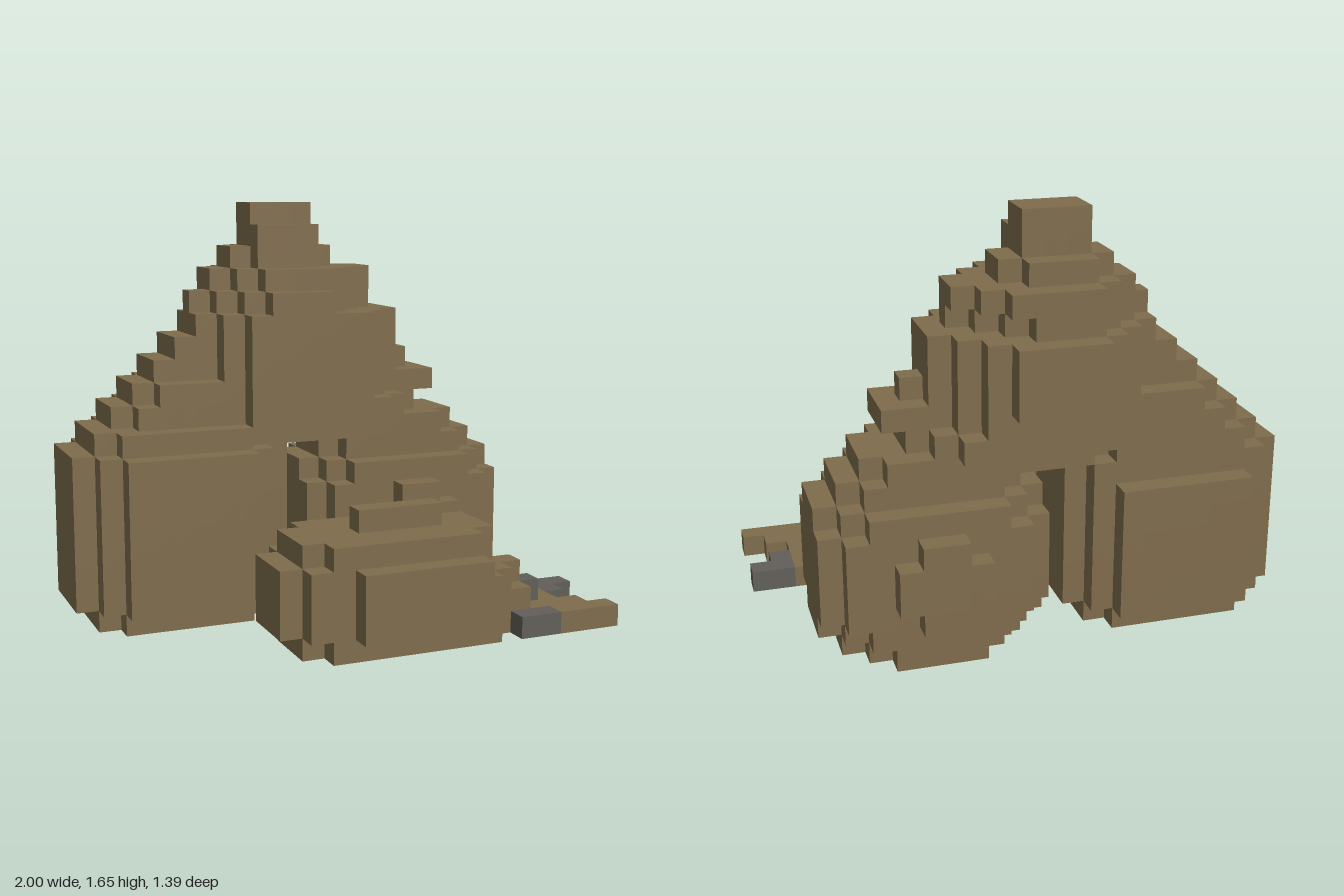
import * as THREE from 'three';

const V = 2 / 23; // edge of one block
const ORIGIN = [-1, 0, -8 * V];

// Each part is a union of slabs in block units: [x0, x1, y0, y1, z0, z1, corner],
// where corner is how many blocks the upright corners are stepped in.
const PARTS = {
  rightSack: ['sackcloth', [
    [1, 9, 0, 1, 2, 8, 1], // base
    [0, 10, 1, 7, 1, 9, 2],
    [0, 10, 7, 8, 2, 8, 1], [2, 8, 7, 8, 8, 9],
    [1, 9, 8, 9, 2, 8, 1], // shoulder
    [2, 9, 9, 10, 2, 7, 1], [3, 9, 10, 11, 2, 7, 1],
    [4, 9, 11, 12, 3, 6], [5, 9, 12, 13, 3, 6],
  ]],
  leftSack: ['sackcloth', [
    [12, 20, 0, 1, 1, 8, 2], // base
    [11, 21, 1, 7, 1, 8, 2], [11, 21, 2, 6, 1, 8, 1],
    [14, 18, 3, 5, 0, 9], [15, 17, 2, 6, 0, 9], // front and back bulges
    [12, 20, 7, 8, 2, 7, 1],
    [12, 19, 8, 9, 2, 7, 1], // shoulder
  ]],
  topSack: ['sackcloth', [
    [8, 15, 8, 9, 2, 7, 1], // base
    [6, 17, 9, 10, 1, 8, 2],
    [5, 17, 10, 12, 1, 8, 3], [15, 18, 10, 11, 3, 6],
    [6, 16, 12, 14, 1, 8, 2],
    [9, 13, 10, 11, 7, 8], [8, 14, 11, 14, 7, 8], [9, 12, 14, 15, 7, 8], // front bulge
    [9, 13, 11, 14, 0, 1], // back bulge
    [6, 15, 14, 15, 1, 8, 3],
    [7, 15, 15, 16, 1, 7, 2],
    [8, 13, 16, 17, 2, 6, 1],
    [9, 12, 17, 18, 3, 6], [9, 12, 18, 19, 3, 5], // tied neck
  ]],
  frontSack: ['sackcloth', [
    [8, 18, 0, 1, 10, 15, 1], // base
    [7, 18, 1, 3, 10, 15, 1], [7, 17, 3, 4, 10, 15, 1],
    [10, 15, 1, 2, 15, 16], [10, 16, 2, 4, 15, 16], // front bulge
    [11, 15, 1, 4, 9, 10], // back bulge
    [8, 17, 4, 5, 10, 15, 1],
    [11, 15, 5, 6, 12, 13],
  ]],
  spilledMouth: ['sackcloth', [
    [18, 21, 0, 1, 10, 14], [21, 22, 0, 1, 13, 14], [20, 23, 0, 1, 14, 15],
    [18, 19, 1, 2, 11, 14], [18, 19, 2, 3, 12, 13],
  ]],
  spilledLumps: ['stone', [
    [21, 23, 0, 1, 10, 11], [21, 22, 0, 1, 11, 12],
    [18, 20, 0, 1, 14, 15], [19, 20, 1, 2, 12, 13],
  ]],
};

const key = (x, y, z) => x + 32 * (y + 32 * z);

// Fill a list of slabs into a map of blocks.
function fill(slabs) {
  const blocks = new Map();
  for (const [x0, x1, y0, y1, z0, z1, corner = 0] of slabs)
    for (let x = x0; x < x1; x++)
      for (let z = z0; z < z1; z++) {
        const inset = Math.min(x - x0, x1 - 1 - x) + Math.min(z - z0, z1 - 1 - z);
        if (inset < corner) continue;
        for (let y = y0; y < y1; y++) blocks.set(key(x, y, z), [x, y, z]);
      }
  return blocks;
}

// Make quads only where a block borders open space; the underside on the ground stays open.
function skin(blocks, solid) {
  const position = [], normal = [], index = [];
  for (const block of blocks.values())
    for (let axis = 0; axis < 3; axis++)
      for (const side of [-1, 1]) {
        const next = [...block];
        next[axis] += side;
        if (next[1] < 0) continue;
        if (next.every((v) => v >= 0) && solid.has(key(...next))) continue;
        const u = (axis + 1) % 3, w = (axis + 2) % 3;
        const start = position.length / 3;
        for (const [a, b] of [[0, 0], [1, 0], [1, 1], [0, 1]]) {
          const corner = [...block];
          corner[axis] += side > 0 ? 1 : 0;
          corner[u] += a;
          corner[w] += b;
          position.push(...corner.map((v, n) => v * V + ORIGIN[n]));
          normal.push(...[0, 1, 2].map((n) => (n === axis ? side : 0)));
        }
        const order = side > 0 ? [0, 1, 2, 0, 2, 3] : [0, 2, 1, 0, 3, 2];
        index.push(...order.map((n) => start + n));
      }
  const geometry = new THREE.BufferGeometry();
  geometry.setAttribute('position', new THREE.Float32BufferAttribute(position, 3));
  geometry.setAttribute('normal', new THREE.Float32BufferAttribute(normal, 3));
  geometry.setIndex(index);
  return geometry;
}

export function createModel() {
  const materials = {
    sackcloth: new THREE.MeshStandardMaterial({ color: 0x7f6c4c, side: THREE.DoubleSide }),
    stone: new THREE.MeshStandardMaterial({ color: 0x625f59, side: THREE.DoubleSide }),
  };
  for (const name in materials) materials[name].name = name;

  const group = new THREE.Group();
  group.name = 'sackPile';
  const solid = new Set();
  const filled = Object.entries(PARTS).map(([name, [material, slabs]]) => {
    const blocks = fill(slabs);
    // A block belongs to the first part that claims it.
    for (const k of [...blocks.keys()]) solid.has(k) ? blocks.delete(k) : solid.add(k);
    return { name, material, blocks };
  });
  for (const { name, material, blocks } of filled) {
    const mesh = new THREE.Mesh(skin(blocks, solid), materials[material]);
    mesh.name = name;
    group.add(mesh);
  }
  return group;
}
